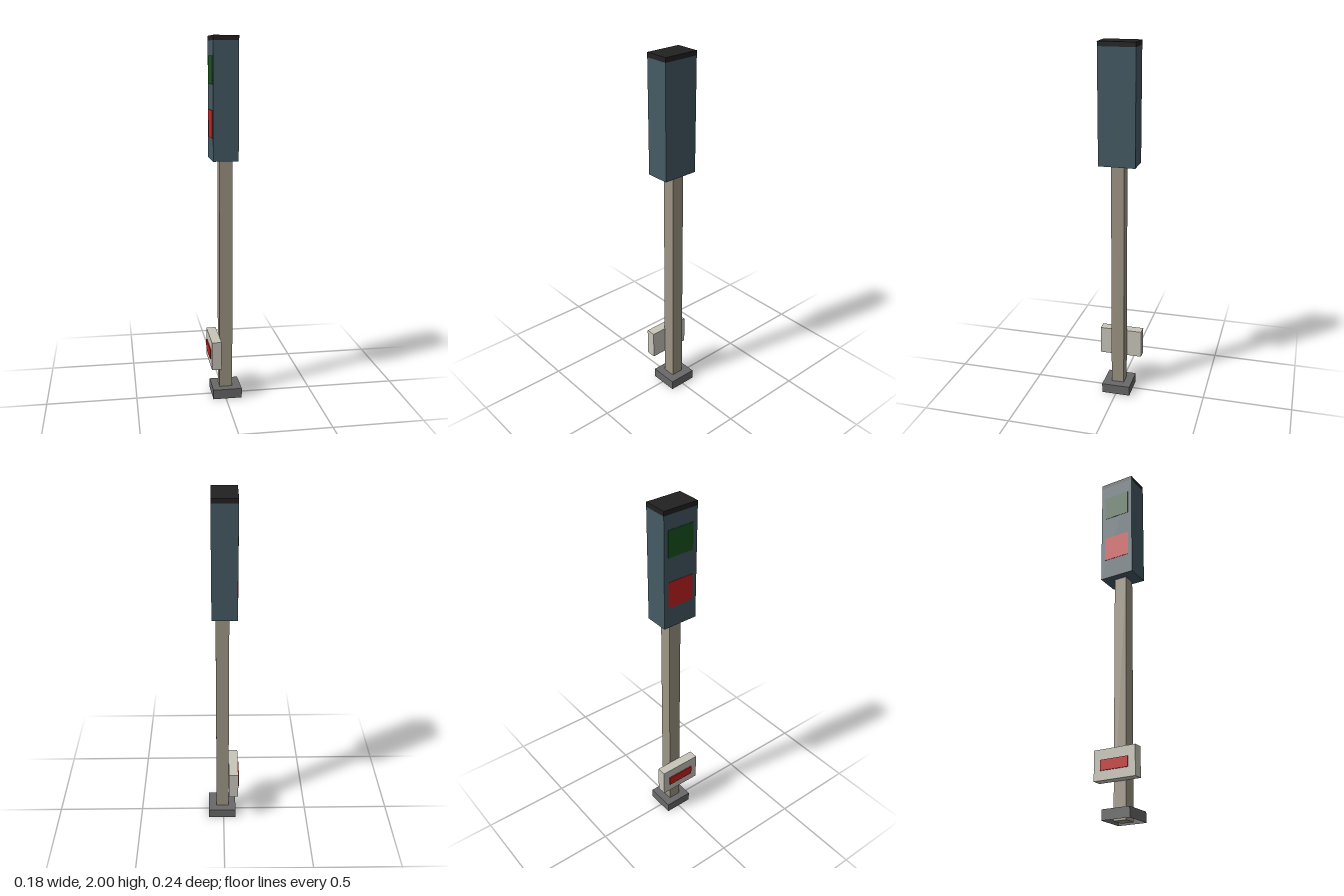
import * as THREE from 'three';

const paint = (name, color, side = THREE.FrontSide) => {
  const m = new THREE.MeshStandardMaterial({ color, side });
  m.name = name;
  return m;
};

export function createModel() {
  const group = new THREE.Group();
  group.name = 'trackSignal';

  const slate = paint('slate', 0x455a64);
  const black = paint('black', 0x212121);
  const stone = paint('stone', 0x9e9685);
  const paleGrey = paint('paleGrey', 0xc9c6bb);
  const grey = paint('grey', 0x696969, THREE.DoubleSide);
  const red = paint('red', 0xc62222);
  const green = paint('green', 0x1b5420);

  // Box given by its extent on each axis
  const box = (name, material, [x0, x1], [y0, y1], [z0, z1]) => {
    const geometry = new THREE.BoxGeometry(x1 - x0, y1 - y0, z1 - z0);
    const mesh = new THREE.Mesh(geometry, material);
    mesh.position.set((x0 + x1) / 2, (y0 + y1) / 2, (z0 + z1) / 2);
    mesh.name = name;
    group.add(mesh);
    return mesh;
  };

  // Foot: a hollow block, open underneath (the -y face is dropped)
  const foot = box('foot', grey, [-0.072, 0.09], [0, 0.055], [-0.081, 0.081]);
  const index = Array.from(foot.geometry.index.array);
  index.splice(18, 6);
  foot.geometry.setIndex(index);
  foot.geometry.clearGroups();

  // Pole
  box('pole', stone, [-0.03, 0.042], [0, 1.355], [-0.036, 0.036]);

  // Signal head and its cap
  const headX = [-0.072, 0.063], headZ = [-0.101, 0.101];
  box('signalHead', slate, headX, [1.355, 1.975], headZ);
  box('cap', black, headX, [1.975, 2], headZ);

  // Lamps, thin plates on the -x face
  for (const [name, material, y] of [['greenLamp', green, 1.825], ['redLamp', red, 1.545]]) {
    box(name, material, [-0.074, -0.071], [y - 0.073, y + 0.073], [-0.076, 0.076]);
  }

  // Sign board with its red plate
  box('signBoard', paleGrey, [-0.085, -0.031], [0.195, 0.355], [-0.121, 0.121]);
  box('signPlate', red, [-0.091, -0.085], [0.245, 0.3], [-0.081, 0.081]);

  return group;
}
